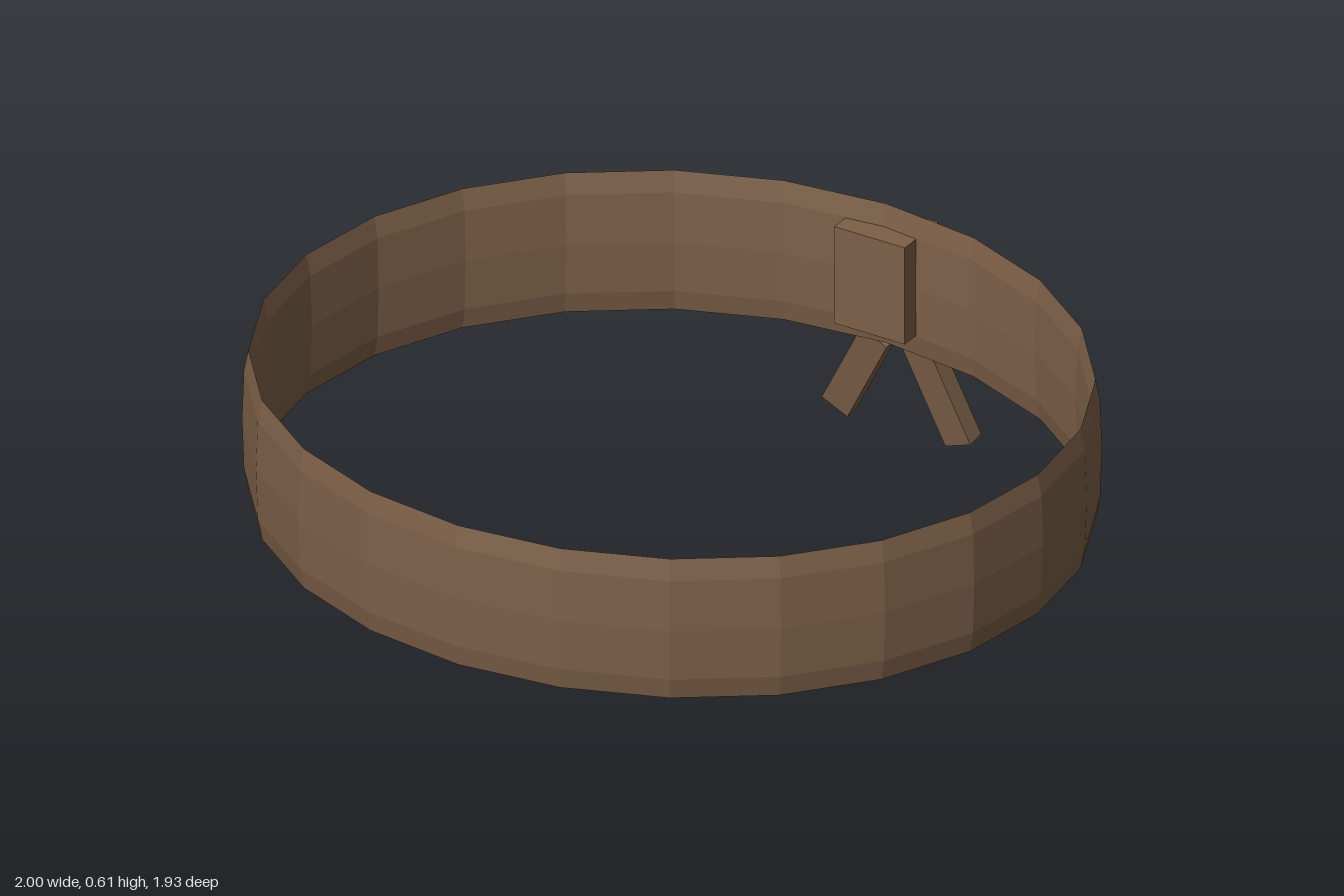
import * as THREE from 'three';

export function createModel() {
  const model = new THREE.Group();
  const material = new THREE.MeshStandardMaterial({ color: 0x7d6048, flatShading: true });

  function add(name, geometry, position, rotation = [0, 0, 0]) {
    const mesh = new THREE.Mesh(geometry, material);
    mesh.name = name;
    mesh.position.set(...position);
    mesh.rotation.set(...rotation);
    model.add(mesh);
    return mesh;
  }

  // Headband: a low-poly torus stretched tall and slightly oval
  const band = new THREE.TorusGeometry(0.985, 0.015, 8, 24);
  band.rotateX(Math.PI / 2);
  band.scale(1, 12, 0.925);
  add('band', band, [0, 0.44, 0.04]);

  // Knot at the back
  add('knot', new THREE.BoxGeometry(0.19, 0.25, 0.145), [0, 0.44, -0.873]);

  // Two loose tails, splayed sideways and tilted backwards
  const tail = new THREE.BoxGeometry(0.075, 0.27, 0.047);
  add('rightTail', tail, [-0.102, 0.146, -0.92], [0.16, 0, -0.5]);
  add('leftTail', tail, [0.118, 0.149, -0.92], [0.16, 0, 0.35]);

  return model;
}
